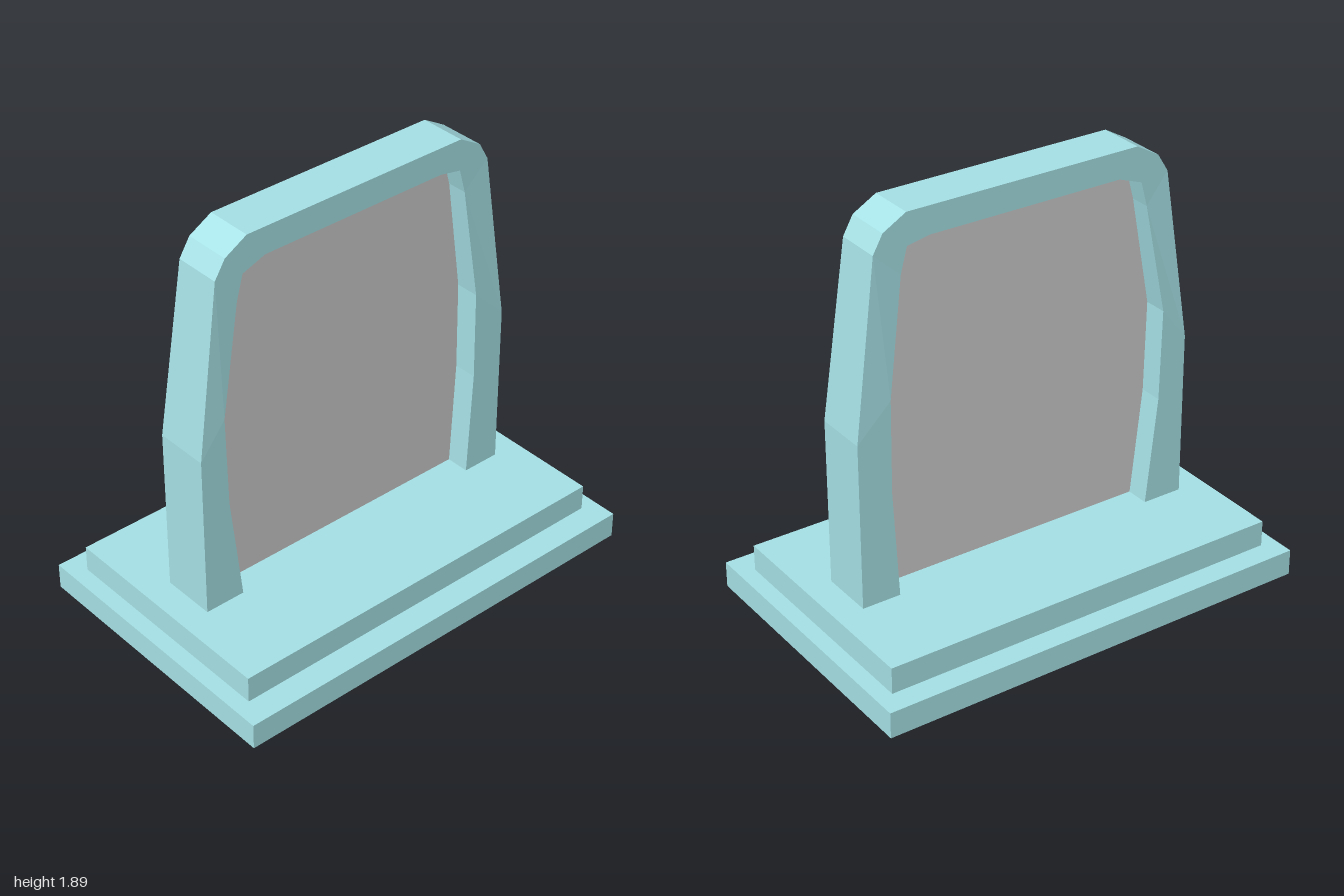
import * as THREE from 'three';

const CENTRE_X = -0.01;

// Matching outlines of the arch as [z, y], from the front foot over to the back foot
const OUTER = [
  [0.8, 0.235], [0.8, 0.72], [0.8, 0.98], [0.69, 1.75], [0.64, 1.83], [0.535, 1.89],
  [-0.545, 1.89], [-0.65, 1.83], [-0.695, 1.75], [-0.8, 0.98], [-0.8, 0.72], [-0.8, 0.235],
];
const INNER = [
  [0.615, 0.235], [0.67, 0.72], [0.68, 1.13], [0.59, 1.62], [0.56, 1.73], [0.45, 1.77],
  [-0.44, 1.77], [-0.545, 1.75], [-0.575, 1.64], [-0.645, 1.13], [-0.65, 0.72], [-0.625, 0.235],
];

// The arch is thinner above its shoulders
function halfWidth(y) {
  return y < 1.3 ? 0.122 : 0.105;
}

// Rectangular section swept along the paired outlines, flat faced
function archGeometry() {
  const corner = ([z, y], side) => [CENTRE_X + side * halfWidth(y), y, z];
  const rings = OUTER.map((o, i) => [
    corner(o, 1), corner(o, -1), corner(INNER[i], -1), corner(INNER[i], 1),
  ]);
  const positions = [];
  const quad = (a, b, c, d) => positions.push(...a, ...b, ...c, ...a, ...c, ...d);
  for (let i = 0; i < rings.length - 1; i++) {
    for (let k = 0; k < 4; k++) {
      const n = (k + 1) % 4;
      quad(rings[i][k], rings[i + 1][k], rings[i + 1][n], rings[i][n]);
    }
  }
  // Close the feet
  const first = rings[0];
  const last = rings[rings.length - 1];
  quad(first[0], first[1], first[2], first[3]);
  quad(last[3], last[2], last[1], last[0]);

  const geometry = new THREE.BufferGeometry();
  geometry.setAttribute('position', new THREE.Float32BufferAttribute(positions, 3));
  geometry.computeVertexNormals();
  return geometry;
}

// Thin sheet filling the arch opening
function panelGeometry() {
  const thickness = 0.03;
  const shape = new THREE.Shape(INNER.map(([z, y]) => new THREE.Vector2(z, y)));
  const geometry = new THREE.ExtrudeGeometry(shape, { depth: thickness, bevelEnabled: false });
  geometry.translate(0, 0, -thickness / 2);
  geometry.rotateY(-Math.PI / 2);
  geometry.translate(CENTRE_X, 0, 0);
  return geometry;
}

export function createModel() {
  const model = new THREE.Group();
  model.name = 'archedPanelOnPlinth';

  const teal = new THREE.MeshStandardMaterial({ color: 0xa6e1e6, flatShading: true });
  const grey = new THREE.MeshStandardMaterial({ color: 0xcccccc, flatShading: true });

  const add = (name, geometry, material) => {
    const mesh = new THREE.Mesh(geometry, material);
    mesh.name = name;
    model.add(mesh);
    return mesh;
  };

  // Stepped plinth
  add('lowerStep', new THREE.BoxGeometry(1.284, 0.117, 2), teal).position.set(0, 0.0585, 0);
  add('upperStep', new THREE.BoxGeometry(1.064, 0.118, 1.852), teal).position.set(-0.008, 0.176, 0);

  // Standing arch and its filling
  add('archFrame', archGeometry(), teal);
  add('panel', panelGeometry(), grey);

  return model;
}
